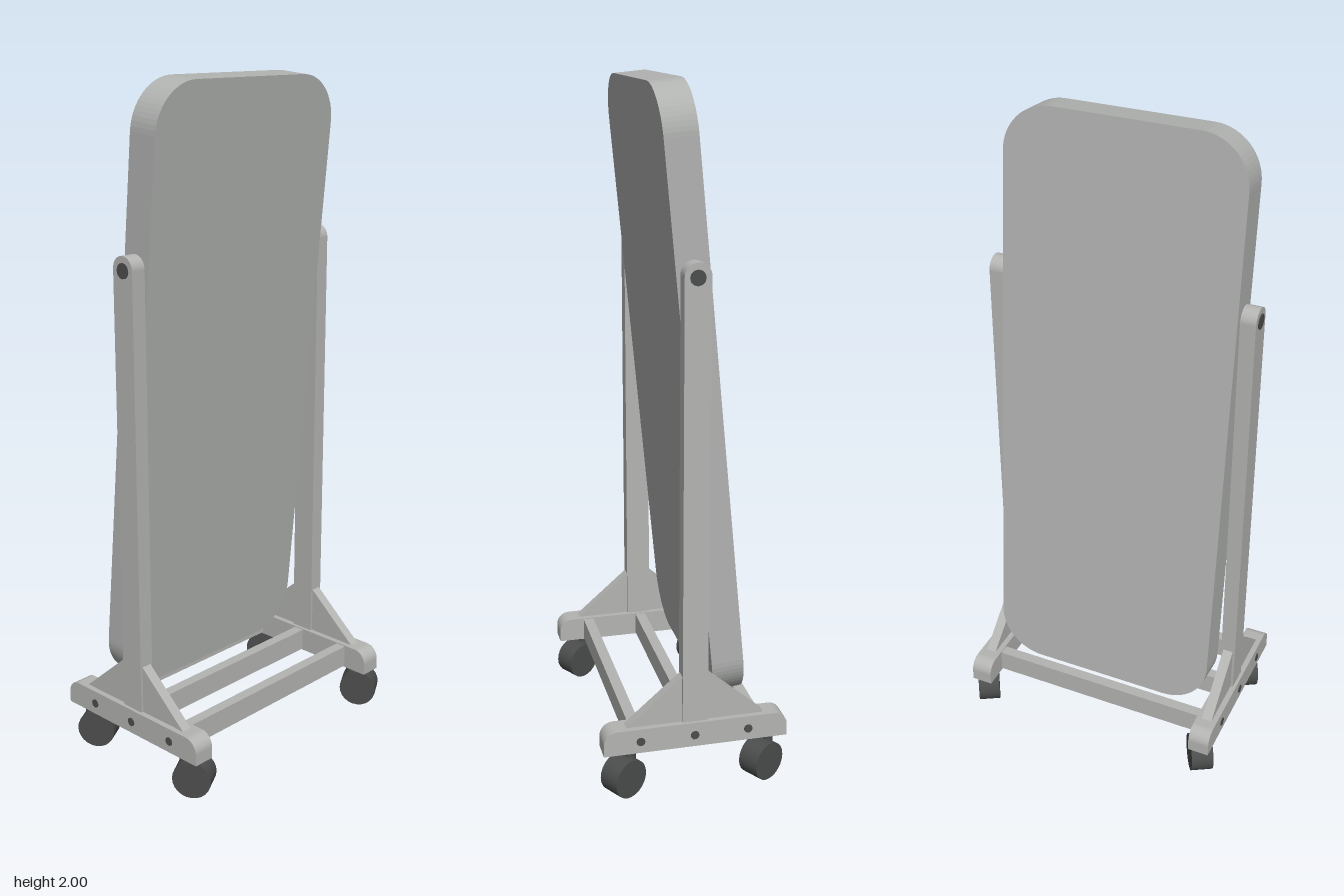
import * as THREE from 'three';

const frameMat = new THREE.MeshStandardMaterial({ color: 0xb4b4b3 });
frameMat.name = 'frame grey';
const panelMat = new THREE.MeshStandardMaterial({ color: 0xb0b2b0 });
panelMat.name = 'panel grey';
const darkMat = new THREE.MeshStandardMaterial({ color: 0x4c4d4d });
darkMat.name = 'dark grey';

const CX = -0.019; // centre of the frame
const CZ = -0.007;

function add(parent, name, geometry, material, x = 0, y = 0, z = 0) {
  const mesh = new THREE.Mesh(geometry, material);
  mesh.name = name;
  mesh.position.set(x, y, z);
  parent.add(mesh);
  return mesh;
}

// Extrude a profile drawn in z (across) and y (up), centred on x
function sidePlate(shape, thickness) {
  const g = new THREE.ExtrudeGeometry(shape, { depth: thickness, bevelEnabled: false, curveSegments: 8 });
  g.translate(0, 0, -thickness / 2);
  g.rotateY(-Math.PI / 2);
  return g;
}

// Rectangle with separate radii for its top and bottom corners
function roundedRect(w, y0, y1, rTop, rBottom) {
  const s = new THREE.Shape();
  const h = w / 2;
  s.moveTo(-h + rBottom, y0);
  s.lineTo(h - rBottom, y0);
  if (rBottom) s.absarc(h - rBottom, y0 + rBottom, rBottom, -Math.PI / 2, 0);
  s.lineTo(h, y1 - rTop);
  s.absarc(h - rTop, y1 - rTop, rTop, 0, Math.PI / 2);
  s.lineTo(-h + rTop, y1);
  s.absarc(-h + rTop, y1 - rTop, rTop, Math.PI / 2, Math.PI);
  s.lineTo(-h, y0 + rBottom);
  if (rBottom) s.absarc(-h + rBottom, y0 + rBottom, rBottom, Math.PI, Math.PI * 1.5);
  return s;
}

function cylinderX(radius, length, sides) {
  return new THREE.CylinderGeometry(radius, radius, length, sides).rotateZ(Math.PI / 2);
}

// Swivelled wheel with a short stem trailing behind it
function caster() {
  const g = new THREE.Group();
  g.name = 'caster';
  add(g, 'wheel', cylinderX(0.0575, 0.068, 24), darkMat, 0, 0.0575, 0);
  add(g, 'stem', new THREE.CylinderGeometry(0.016, 0.016, 0.07, 16), darkMat, 0, 0.1, -0.027);
  g.rotation.y = 0.53;
  return g;
}

export function createModel() {
  const root = new THREE.Group();
  root.name = 'tiltingBoardStand';

  // Tilted board with rounded corners
  const board = new THREE.ExtrudeGeometry(roundedRect(0.704, -0.894, 0.894, 0.14, 0.14),
    { depth: 0.095, bevelEnabled: false, curveSegments: 8 });
  board.translate(0, 0, -0.0475);
  const panel = add(root, 'board', board, panelMat, CX, 1.1055, -0.042);
  panel.rotation.x = 0.0953;

  // Gusset profile
  const gusset = new THREE.Shape();
  gusset.moveTo(-0.21, 0.2);
  gusset.lineTo(0.21, 0.2);
  gusset.lineTo(0.037, 0.35);
  gusset.lineTo(-0.037, 0.35);
  gusset.closePath();

  for (const side of [-1, 1]) {
    const x = CX + side * 0.378;
    const label = side > 0 ? 'left' : 'right';
    add(root, label + 'Foot', sidePlate(roundedRect(0.546, 0.13, 0.205, 0.04, 0), 0.065), frameMat, x, 0, CZ);
    add(root, label + 'Gusset', sidePlate(gusset, 0.031), frameMat, x, 0, CZ);
    add(root, label + 'Post', sidePlate(roundedRect(0.075, 0.2, 1.54, 0.037, 0), 0.045), frameMat, x, 0, CZ + 0.002);

    // Pivot pin reaching into the board
    add(root, label + 'Pivot', cylinderX(0.022, 0.07, 12), darkMat, x - side * 0.01, 1.5, -0.004);

    // Bolt heads along the foot
    for (const z of [-0.16, 0, 0.16]) {
      add(root, label + 'Bolt', cylinderX(0.013, 0.008, 10), darkMat, x + side * 0.031, 0.166, z - 0.002);
    }

    for (const z of [-0.207, 0.207]) {
      const c = caster();
      c.position.set(side * 0.378, 0, z);
      root.add(c);
    }
  }

  // Cross bars joining the feet
  for (const z of [-0.178, 0, 0.178]) {
    add(root, 'crossBar', new THREE.BoxGeometry(0.71, 0.068, 0.033), frameMat, CX, 0.168, CZ - 0.002 + z);
  }
  return root;
}
